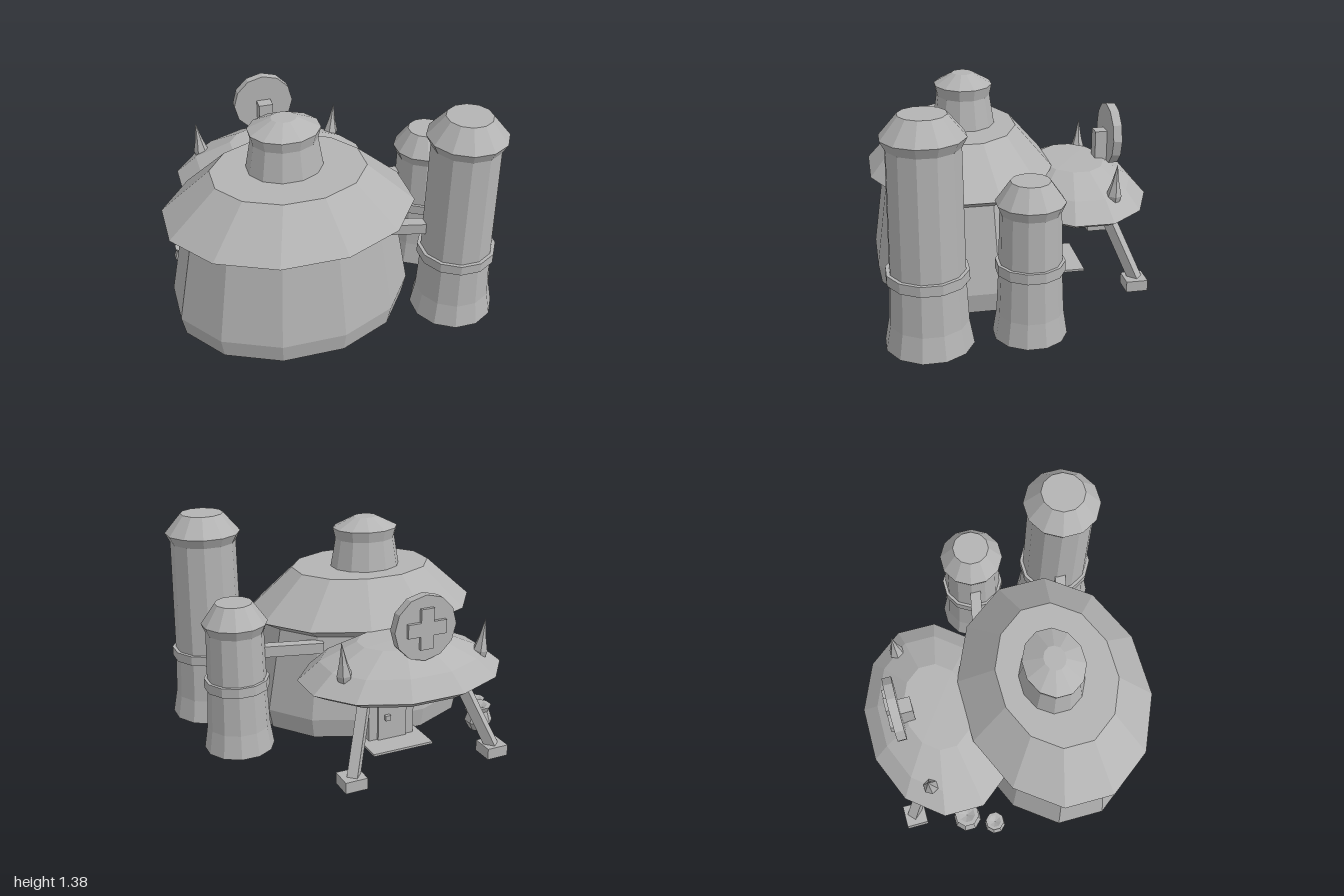
import * as THREE from 'three';

const plaster = new THREE.MeshStandardMaterial({ color: 0xb4b4b4, side: THREE.DoubleSide });
plaster.name = 'grey plaster';

// Faceted mesh with one normal per face
function solid(name, geometry, parent) {
  const g = geometry.index ? geometry.toNonIndexed() : geometry;
  g.computeVertexNormals();
  const mesh = new THREE.Mesh(g, plaster);
  mesh.name = name;
  parent.add(mesh);
  return mesh;
}

// Turned part: profile points are [radius to flat side, height]
function turned(name, profile, sides, x, z, parent, zRatio = 1) {
  const k = 1 / Math.cos(Math.PI / sides);
  const points = profile.map(([r, y]) => new THREE.Vector2(r * k, y));
  const g = new THREE.LatheGeometry(points, sides, Math.PI / sides);
  g.scale(1, 1, zRatio);
  const mesh = solid(name, g, parent);
  mesh.position.set(x, 0, z);
  return mesh;
}

function box(name, w, h, d, x, y, z, parent) {
  const mesh = solid(name, new THREE.BoxGeometry(w, h, d), parent);
  mesh.position.set(x, y, z);
  return mesh;
}

// Square bar from point a to point b
function beam(name, a, b, w, h, parent) {
  const from = new THREE.Vector3(...a), to = new THREE.Vector3(...b);
  const mesh = solid(name, new THREE.BoxGeometry(w, h, from.distanceTo(to)), parent);
  mesh.position.copy(from).add(to).multiplyScalar(0.5);
  mesh.lookAt(to);
  return mesh;
}

function horn(name, x, y, z, size, tiltX, tiltZ, parent) {
  const mesh = turned(name, [[0, 0], [0.035, 0], [0.042, 0.04], [0.022, 0.12], [0, 0.25]], 6, x, z, parent);
  mesh.position.y = y;
  mesh.scale.setScalar(size);
  mesh.rotation.set(tiltX, 0, tiltZ);
}

export function createModel() {
  const model = new THREE.Group();
  model.name = 'clinic';

  // Main hall, roof and roof turret
  turned('hallWall', [[0.71, 0], [0.735, 0.13], [0.635, 0.675]], 12, -0.243, 0.31, model, 0.77);
  turned('hallRoof', [[0.635, 0.675], [0.755, 0.742], [0.46, 1.012], [0, 1.012]], 12, -0.243, 0.307, model, 0.775);
  turned('roofTurret', [[0.227, 1.01], [0.195, 1.2], [0.212, 1.27], [0.075, 1.34], [0, 1.34]], 12, -0.257, 0.27, model, 0.85);

  // Two tanks, each with a band and a pipe to the hall
  const tanks = [
    { name: 'tallTank', z: 0.62, s: 1, height: 1.385, pipe: [0.28, 0.615, 0.52] },
    { name: 'shortTank', z: 0.025, s: 0.84, height: 0.96, pipe: [0.2, 0.615, -0.07] },
  ];
  for (const t of tanks) {
    const tank = new THREE.Group();
    tank.name = t.name;
    model.add(tank);
    const top = t.height, c = top - 0.125;
    const body = [[0.255, 0], [0.228, 0.15], [0.215, 0.4], [0.205, c - 0.06], [0.235, c], [0.133, top], [0, top]];
    turned(t.name + 'Body', body.map(([r, y]) => [r * t.s, y]), 12, 0.745, t.z, tank);
    const band = [[0.205, 0.41], [0.235, 0.41], [0.235, 0.473], [0.205, 0.473]];
    turned(t.name + 'Band', band.map(([r, y]) => [r * t.s, y]), 12, 0.745, t.z, tank);
    beam(t.name + 'Pipe', t.pipe, [0.62, 0.625, t.z - 0.01], 0.07, 0.07, tank);
  }

  // Canopy behind the hall
  const cx = -0.167;
  turned('canopy', [[0.55, 0.48], [0.642, 0.53], [0.51, 0.64], [0.28, 0.745], [0, 0.75]], 12, cx, -0.437, model, 0.724);
  for (const s of [-1, 1]) {
    const x = cx + s * 0.485;
    box('canopyFoot', 0.142, 0.072, 0.14, x, 0.036, -0.755, model);
    beam('canopyLeg', [x, 0.04, -0.77], [x - s * 0.2, 0.58, -0.55], 0.065, 0.065, model);
    horn('canopyHorn', cx + s * 0.46, 0.61, -0.6, 1, -0.05, -s * 0.1, model);
    horn('doorHorn', cx + s * 0.19, 0.29, -0.28, 0.64, -0.1, 0, model);
  }

  // Round sign with a raised cross
  const sign = new THREE.Group();
  sign.name = 'sign';
  sign.position.set(cx, 0.905, 0);
  model.add(sign);
  const disc = solid('signDisc', new THREE.CylinderGeometry(0.203, 0.203, 0.058, 12), sign);
  disc.rotation.x = Math.PI / 2;
  disc.position.z = -0.697;
  box('crossUpright', 0.085, 0.25, 0.03, 0, 0, -0.732, sign);
  for (const s of [-1, 1]) box('crossArm', 0.083, 0.085, 0.03, s * 0.084, 0, -0.732, sign);
  box('signPost', 0.095, 0.24, 0.085, 0, -0.095, -0.632, sign);

  // Gabled back door with panel, knob and step
  const gable = new THREE.Shape([[-0.16, 0], [0.16, 0], [0.16, 0.33], [0, 0.455], [-0.16, 0.33]]
    .map(([x, y]) => new THREE.Vector2(x, y)));
  const porch = solid('porch', new THREE.ExtrudeGeometry(gable, { depth: 0.2, bevelEnabled: false }), model);
  porch.position.set(cx, 0, -0.32);
  box('door', 0.2, 0.36, 0.02, cx, 0.18, -0.325, model);
  box('doorKnob', 0.035, 0.035, 0.025, cx + 0.04, 0.17, -0.347, model);
  box('doorStep', 0.42, 0.015, 0.28, cx, 0.0075, -0.355, model);

  // Two jars beside the door
  const jar = [[0, 0], [0.055, 0], [0.085, 0.06], [0.062, 0.135], [0.075, 0.168], [0.05, 0.168], [0, 0.14]];
  for (const [name, x, z, s] of [['largeJar', -0.765, -0.42, 1], ['smallJar', -0.85, -0.25, 0.75]]) {
    turned(name, jar, 8, x, z, model).scale.setScalar(s);
  }
  return model;
}
